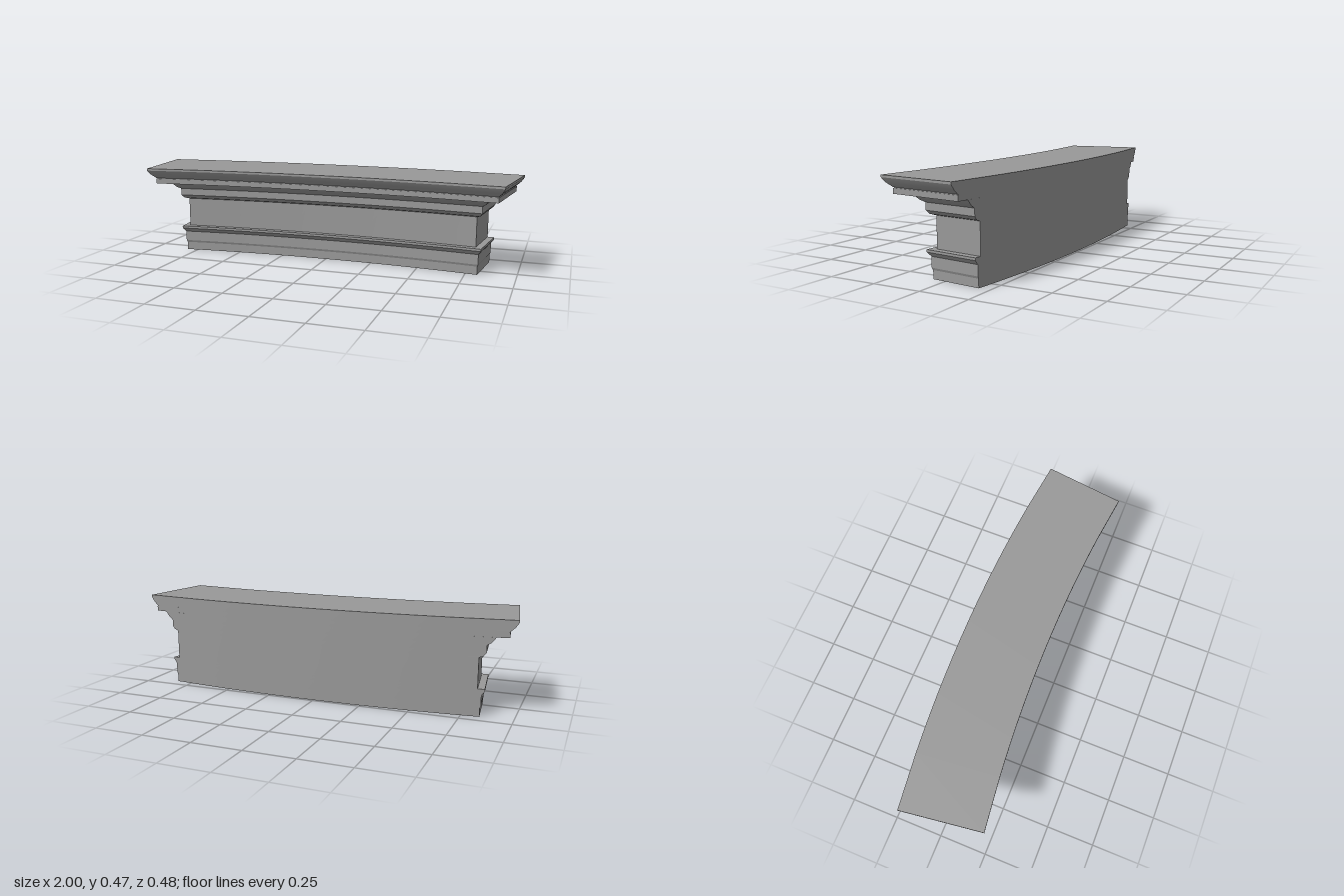
import * as THREE from 'three';
import { toCreasedNormals } from 'three/addons/utils/BufferGeometryUtils.js';

const SEG = 16;            // steps along the arc
const CENTRE_Z = 7.26;     // arc centre, in front of the concave face
const BACK_R = 7.5;        // radius of the back wall
const FRIEZE_R = 7.249;    // radius of the plain frieze face
const FRIEZE_ANGLE = 0.1102;

const arcPoint = (r, a, y) => [r * Math.sin(a), y, CENTRE_Z - r * Math.cos(a)];

// Plan outline at one height: front arc left to right, then back arc returning.
// The projection steps out from the frieze on the front and on both ends;
// inner points share their angles at every height so the bands line up.
function ring([projection, y]) {
  const half = FRIEZE_ANGLE + projection / 7.083;
  const front = [], back = [];
  for (let i = 0; i <= SEG; i++) {
    const reach = i === 0 || i === SEG ? half : FRIEZE_ANGLE;
    const a = reach * (2 * i / SEG - 1);
    front.push(arcPoint(FRIEZE_R - projection, a, y));
    back.push(arcPoint(BACK_R, -a, y));
  }
  return [...front, ...back];
}

function toMesh(name, positions, material) {
  const g = new THREE.BufferGeometry();
  g.setAttribute('position', new THREE.Float32BufferAttribute(positions, 3));
  const mesh = new THREE.Mesh(toCreasedNormals(g, 0.7), material);
  mesh.name = name;
  return mesh;
}

const addQuad = (out, a, b, c, d) => out.push(...a, ...b, ...c, ...a, ...c, ...d);

// Wall following a vertical profile around the whole plan
function band(name, profile, material) {
  const out = [];
  for (let k = 0; k < profile.length - 1; k++) {
    const lo = ring(profile[k]), hi = ring(profile[k + 1]);
    const level = profile[k][1] === profile[k + 1][1];
    for (let i = 0; i < lo.length; i++) {
      // level ledges have no area along the inner back
      if (level && i > SEG + 1 && i < lo.length - 2) continue;
      const j = (i + 1) % lo.length;
      addQuad(out, lo[i], lo[j], hi[j], hi[i]);
    }
  }
  return toMesh(name, out, material);
}

// Flat face closing the top or bottom
function cap(name, point, up, material) {
  const p = ring(point), n = p.length - 1, out = [];
  for (let i = 0; i < SEG; i++) {
    const q = [p[i], p[i + 1], p[n - i - 1], p[n - i]];
    addQuad(out, ...(up ? q : q.reverse()));
  }
  return toMesh(name, out, material);
}

export function createModel() {
  const group = new THREE.Group();
  group.name = 'curvedEntablature';
  const material = new THREE.MeshStandardMaterial({ color: 0x999999 });

  // Each band: [projection from the frieze, height], bottom to top
  const bands = {
    lowerFascia: [[0.0135, 0], [0.0135, 0.042]],
    fasciaBevel: [[0.0135, 0.042], [0.018, 0.053]],
    upperFascia: [[0.018, 0.053], [0.018, 0.105]],
    architraveBevel: [[0.018, 0.105], [0.0325, 0.125]],
    architraveFillet: [[0.0325, 0.125], [0.0325, 0.137], [0, 0.137]],
    frieze: [[0, 0.137], [0, 0.29]],
    bedMoulding: [[0, 0.29], [0.02, 0.297], [0.0325, 0.314]],
    bedFillet: [[0.0325, 0.314], [0.0325, 0.35]],
    ovolo: [[0.0325, 0.35], [0.052, 0.363], [0.0725, 0.39]],
    corona: [[0.0725, 0.39], [0.13, 0.39], [0.13, 0.416]],
    coronaGroove: [[0.13, 0.416], [0.127, 0.416], [0.127, 0.42], [0.13, 0.42]],
    crownMoulding: [[0.13, 0.42], [0.151, 0.441], [0.166, 0.464]],
    crownFillet: [[0.166, 0.464], [0.166, 0.475]],
  };
  for (const [name, profile] of Object.entries(bands)) {
    group.add(band(name, profile, material));
  }

  group.add(cap('underside', [0.0135, 0], false, material));
  group.add(cap('topFace', [0.166, 0.475], true, material));
  return group;
}
